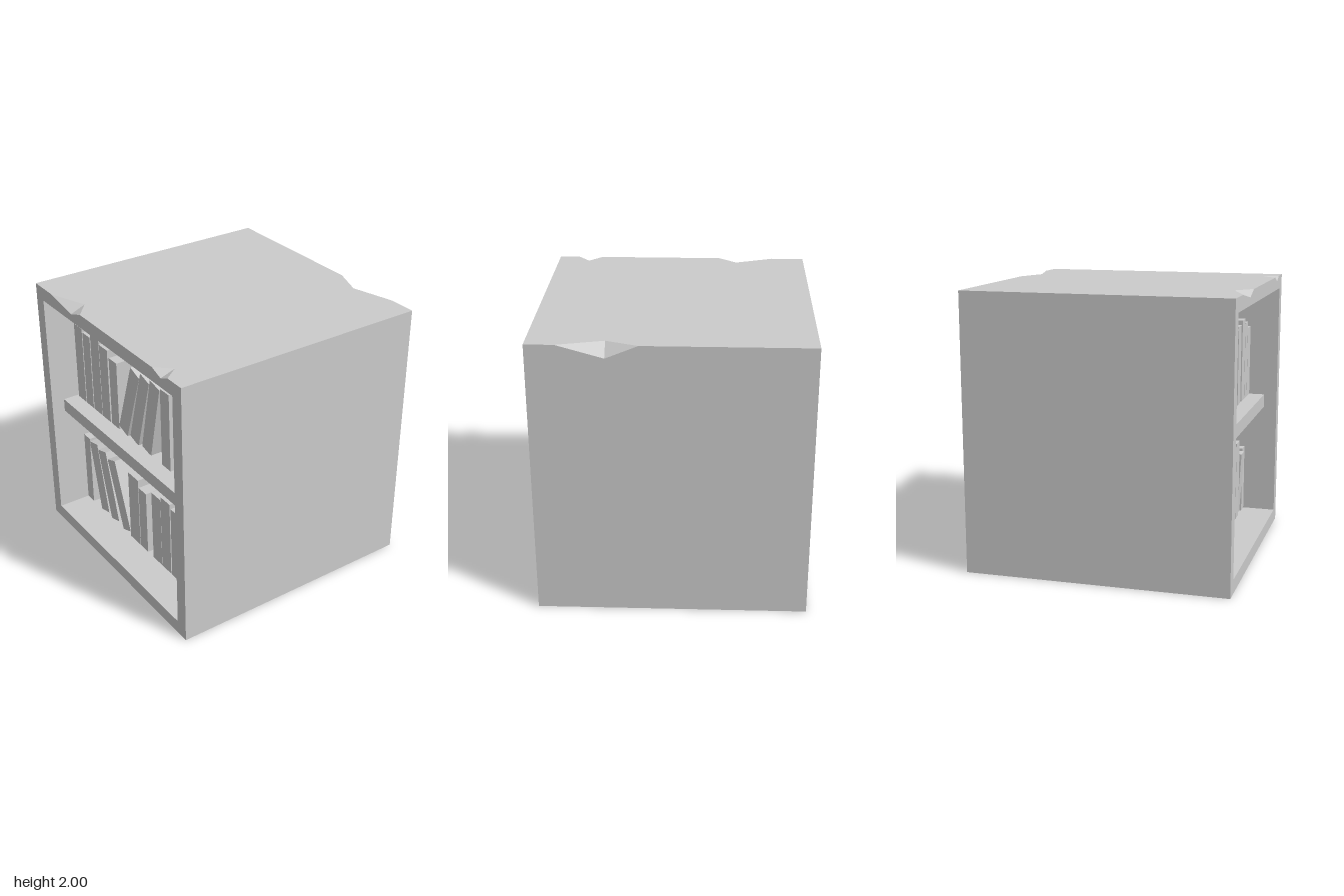
import * as THREE from 'three';

const grey = new THREE.MeshStandardMaterial({ color: 0xcccccc, flatShading: true });
const W = 0.95, H = 2, BACK = 0.1; // half width, height, z of the inner back wall

// Chips broken out of the top edges: start x, apex x, end x, low point y, inner point z
const frontChips = [[-0.71, -0.43, -0.30, 1.955, 0.84], [0.62, 0.72, 0.80, 1.965, 0.845]];
const backChips = [[0.75, 0.43, 0.21, 1.91, -0.865]];

function add(parent, name, geometry) {
  const mesh = new THREE.Mesh(geometry, grey);
  mesh.name = name;
  parent.add(mesh);
  return mesh;
}

function shapeOf(points) {
  return new THREE.Shape(points.map(([x, y]) => new THREE.Vector2(x, y)));
}

// Upright panel outline, with V notches along its top edge (listed left to right)
function notchedPanel(notches) {
  const pts = [[-W, 0], [W, 0], [W, H]];
  for (const [a, m, b, y] of [...notches].reverse()) pts.push([b, H], [m, y], [a, H]);
  pts.push([-W, H]);
  return shapeOf(pts);
}

// Two sloping facets of one chip
function chipGeometry([a, m, b, y, zi], z) {
  const A = [a, H, z], B = [b, H, z], C = [m, y, z], D = [m, H, zi];
  const g = new THREE.BufferGeometry();
  g.setAttribute('position', new THREE.Float32BufferAttribute([A, C, D, C, B, D].flat(), 3));
  g.computeVertexNormals();
  return g;
}

function buildCase() {
  const group = new THREE.Group();
  group.name = 'case';

  // Front frame with the large opening
  const frame = notchedPanel(frontChips);
  frame.holes.push(new THREE.Path([[-0.85, 0.1], [-0.85, 1.9], [0.85, 1.9], [0.85, 0.1]]
    .map(([x, y]) => new THREE.Vector2(x, y))));
  add(group, 'frontFrame', new THREE.ShapeGeometry(frame)).position.z = W;

  // Back panel, mirrored by its half turn
  const back = add(group, 'backPanel', new THREE.ShapeGeometry(
    notchedPanel(backChips.map(([a, m, b, y]) => [-a, -m, -b, y]))));
  back.rotation.y = Math.PI;
  back.position.z = -W;

  // Top, notched by the chips at both edges
  const pts = [[-W, -W]];
  for (const [a, m, b, , z] of frontChips) pts.push([a, -W], [m, -z], [b, -W]);
  pts.push([W, -W], [W, W]);
  for (const [a, m, b, , z] of backChips) pts.push([a, W], [m, -z], [b, W]);
  pts.push([-W, W]);
  const top = add(group, 'topPanel', new THREE.ShapeGeometry(shapeOf(pts)));
  top.rotation.x = -Math.PI / 2;
  top.position.y = H;

  // Sides and underside
  for (const s of [-1, 1]) {
    const side = add(group, s > 0 ? 'leftSide' : 'rightSide', new THREE.PlaneGeometry(2 * W, H));
    side.rotation.y = s * Math.PI / 2;
    side.position.set(s * W, H / 2, 0);
  }
  const under = add(group, 'underside', new THREE.PlaneGeometry(2 * W, 2 * W));
  under.rotation.x = Math.PI / 2;

  for (const c of frontChips) add(group, 'frontChip', chipGeometry(c, W));
  for (const c of backChips) add(group, 'backChip', chipGeometry(c, -W));

  // Inner walls: a box turned inside out, without its front
  const inner = new THREE.BoxGeometry(1.7, 1.8, W - BACK);
  const index = [...inner.index.array];
  index.splice(24, 6);
  inner.setIndex(index.reverse());
  inner.clearGroups();
  inner.computeVertexNormals();
  add(group, 'innerWalls', inner).position.set(0, 1, (W + BACK) / 2);

  // Middle shelf, set back from the frame
  add(group, 'shelf', new THREE.BoxGeometry(1.7, 0.1, 0.85 - BACK))
    .position.set(0, 1, (0.85 + BACK) / 2);
  return group;
}

// Upright books: left x, right x, top y
const upperBooks = [
  [-0.83, -0.715, 1.665], [-0.705, -0.6, 1.64], [-0.59, -0.47, 1.675], [-0.465, -0.35, 1.64],
  [-0.33, -0.225, 1.59], [0.35, 0.458, 1.65], [0.505, 0.615, 1.68], [0.625, 0.723, 1.645],
  [0.73, 0.843, 1.595],
];
const lowerBooks = [
  [-0.85, -0.76, 0.685], [-0.185, -0.047, 0.685], [-0.04, 0.062, 0.625], [0.14, 0.26, 0.685],
  [0.263, 0.383, 0.715], [0.395, 0.502, 0.685], [0.51, 0.63, 0.71], [0.757, 0.85, 0.615],
];
// Leaning books: top left x and y, lean angle, width, height
const upperLeaning = [
  [-0.03, 1.645, -0.335, 0.12, 0.593], [0.1, 1.655, -0.285, 0.115, 0.605],
  [0.225, 1.66, -0.225, 0.12, 0.605],
];
const lowerLeaning = [
  [-0.76, 0.665, 0.228, 0.118, 0.58], [-0.63, 0.655, 0.272, 0.118, 0.576],
  [-0.49, 0.64, 0.345, 0.115, 0.575],
];

function buildRow(name, upright, leaning, floor, front) {
  const group = new THREE.Group();
  group.name = name;
  const depth = 0.5, z = front - depth / 2;
  for (const [x0, x1, top] of upright) {
    add(group, 'book', new THREE.BoxGeometry(x1 - x0, top - floor, depth))
      .position.set((x0 + x1) / 2, (top + floor) / 2, z);
  }
  for (const [x, y, angle, w, h] of leaning) {
    const book = add(group, 'leaningBook', new THREE.BoxGeometry(w, h, depth));
    const c = Math.cos(angle), s = Math.sin(angle);
    book.position.set(x + (w * c + h * s) / 2, y + (w * s - h * c) / 2, z);
    book.rotation.z = angle;
  }
  return group;
}

export function createModel() {
  const model = new THREE.Group();
  model.name = 'bookcase';
  model.add(buildCase());
  model.add(buildRow('upperBooks', upperBooks, upperLeaning, 1.05, 0.73));
  const lower = buildRow('lowerBooks', lowerBooks, lowerLeaning, 0.1, 0.7);
  model.add(lower);

  // One book tipping forward about its lower front edge
  const tipped = new THREE.BoxGeometry(0.107, 0.495, 0.45);
  tipped.translate(0, 0.2475, -0.225);
  const book = add(lower, 'tippedBook', tipped);
  book.position.set(0.703, 0.1, 0.685);
  book.rotation.x = 0.06;
  return model;
}
